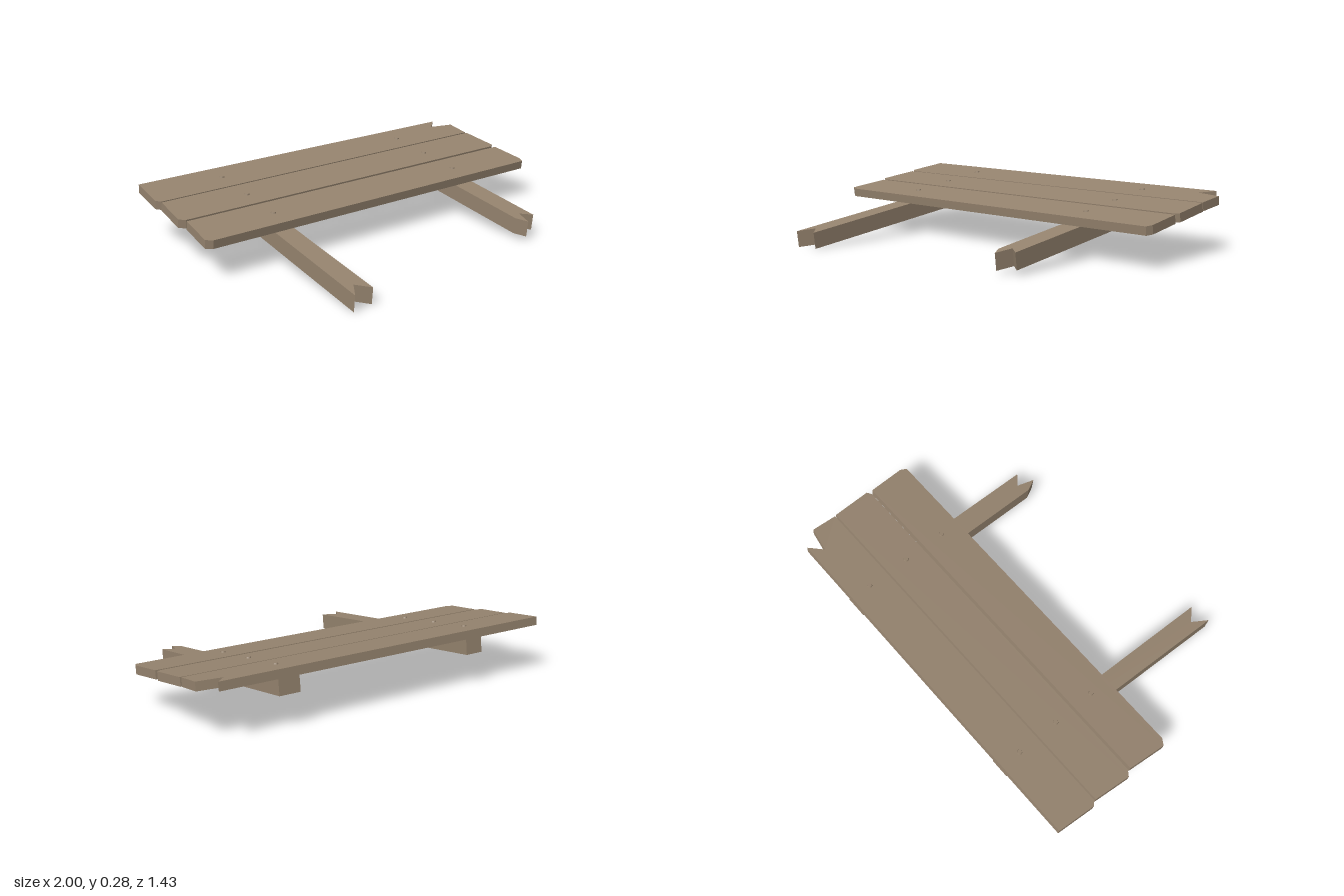
import * as THREE from 'three';

const BOARD = 0.042; // board thickness
const BEAM = 0.08;   // leg thickness

// Plate cut from an outline of [x, z] points, from its top height downward
function plank(name, outline, top, thickness, material) {
  const shape = new THREE.Shape(outline.map(([x, z]) => new THREE.Vector2(x, -z)));
  const geometry = new THREE.ExtrudeGeometry(shape, { depth: thickness, bevelEnabled: false });
  geometry.rotateX(-Math.PI / 2);
  geometry.translate(0, top - thickness, 0);
  const mesh = new THREE.Mesh(geometry, material);
  mesh.name = name;
  return mesh;
}

export function createModel() {
  const wood = new THREE.MeshStandardMaterial({ color: 0x96846f });
  wood.name = 'weathered wood';

  // Everything lies in one tilted plane; the origin is on the boards' top face
  const sign = new THREE.Group();
  sign.name = 'fallenSign';
  sign.rotation.set(THREE.MathUtils.degToRad(7), THREE.MathUtils.degToRad(-12), 0, 'YXZ');
  sign.position.y = 0.2165;

  // Three boards with chipped corners, the rear one with a broken end
  const boards = {
    rearBoard: [[-0.978, -0.53], [0.863, -0.53], [0.801, -0.469], [0.925, -0.446],
      [0.919, -0.316], [-0.976, -0.311], [-0.996, -0.331]],
    middleBoard: [[-0.979, -0.303], [0.922, -0.307], [0.928, -0.108], [0.905, -0.093],
      [-0.972, -0.09], [-1.0, -0.111]],
    frontBoard: [[-0.976, -0.077], [0.922, -0.077], [0.928, 0.109], [0.913, 0.14],
      [-0.968, 0.141], [-0.998, 0.121]],
  };
  for (const [name, outline] of Object.entries(boards)) {
    sign.add(plank(name, outline, 0, BOARD, wood));
  }

  // Two legs under the boards with splintered lower ends
  const legs = {
    rightLeg: [[-0.615, -0.512], [-0.519, -0.512], [-0.57, 0.761], [-0.627, 0.7], [-0.676, 0.777]],
    leftLeg: [[0.45, -0.512], [0.56, -0.512], [0.552, 0.587], [0.499, 0.543],
      [0.474, 0.631], [0.445, 0.572]],
  };
  for (const [name, outline] of Object.entries(legs)) {
    sign.add(plank(name, outline, -BOARD, BEAM, wood));
  }

  // Nail heads where boards cross legs
  const nailGeometry = new THREE.CylinderGeometry(0.011, 0.013, 0.006, 8);
  for (const x of [-0.588, 0.511]) {
    for (const z of [-0.422, -0.194, 0.034]) {
      const nail = new THREE.Mesh(nailGeometry, wood);
      nail.name = 'nailHead';
      nail.position.set(x, 0.003, z);
      sign.add(nail);
    }
  }

  const model = new THREE.Group();
  model.name = 'brokenPlankSign';
  model.add(sign);
  return model;
}
